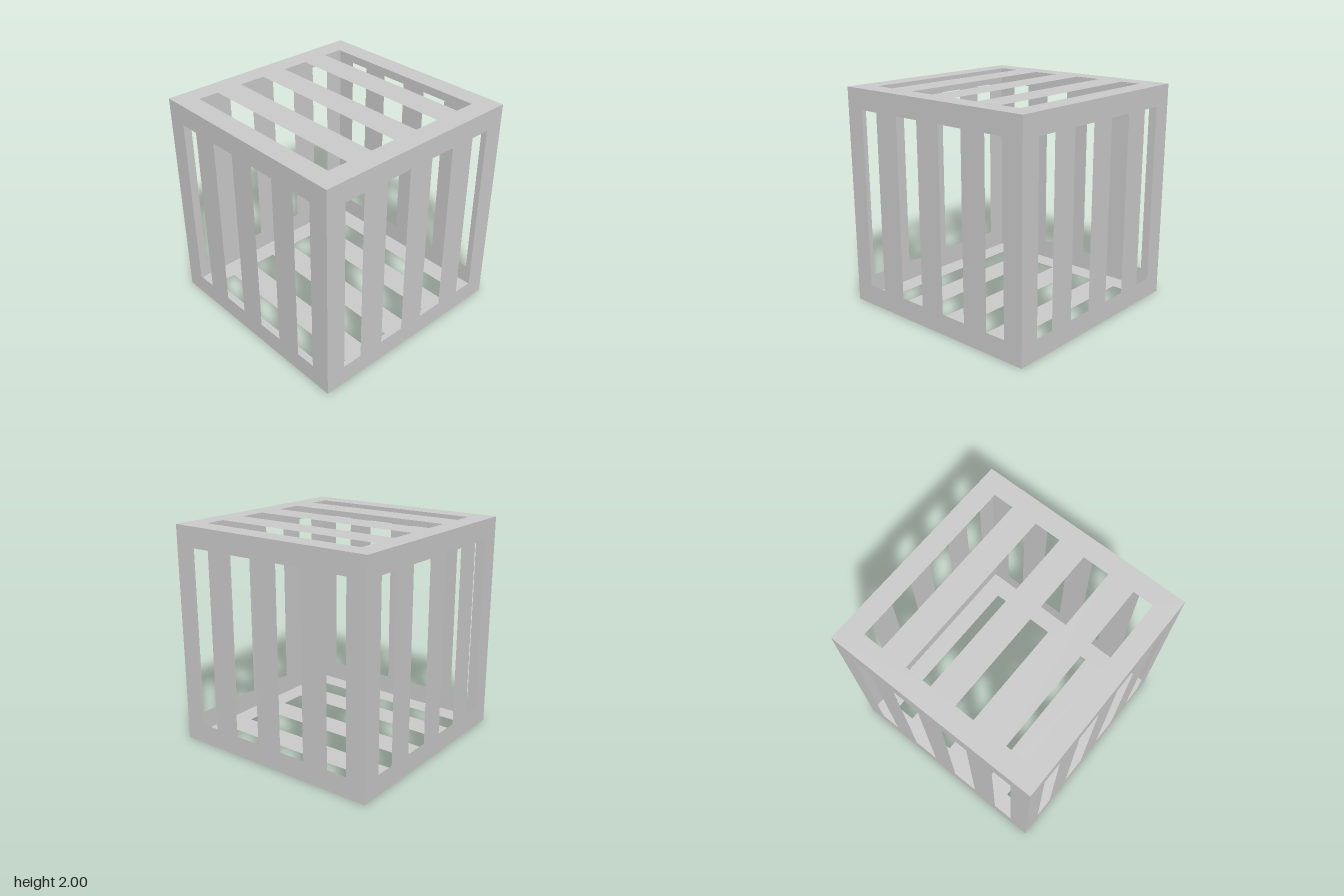
import * as THREE from 'three';

// Square panel, 2 x 2, pierced by four tall slots
function slottedPanel() {
  const rect = (Type, x0, y0, x1, y1) =>
    new Type([[x0, y0], [x1, y0], [x1, y1], [x0, y1]].map(([x, y]) => new THREE.Vector2(x, y)));
  const panel = rect(THREE.Shape, -1, -1, 1, 1);
  const slots = [[-0.815, -0.625], [-0.375, -0.125], [0.125, 0.375], [0.625, 0.815]];
  for (const [x0, x1] of slots) panel.holes.push(rect(THREE.Path, x0, -0.815, x1, 0.815));
  return new THREE.ShapeGeometry(panel);
}

export function createModel() {
  const cage = new THREE.Group();
  cage.name = 'slattedCube';
  const material = new THREE.MeshStandardMaterial({ color: 0xcccccc, side: THREE.DoubleSide });
  const geometry = slottedPanel();
  const q = Math.PI / 2;

  // Each side: name, rotation about x, rotation about y
  const sides = [
    ['frontPanel', 0, 0],
    ['backPanel', 0, 2 * q],
    ['leftPanel', 0, q],
    ['rightPanel', 0, -q],
    ['topPanel', -q, 0],
    ['bottomPanel', q, 0],
  ];
  for (const [name, rx, ry] of sides) {
    const mesh = new THREE.Mesh(geometry, material);
    mesh.name = name;
    mesh.rotation.set(rx, ry, 0);
    // Push the panel outwards along its own normal
    mesh.position.set(0, 1, 0);
    mesh.translateZ(1);
    cage.add(mesh);
  }
  return cage;
}
